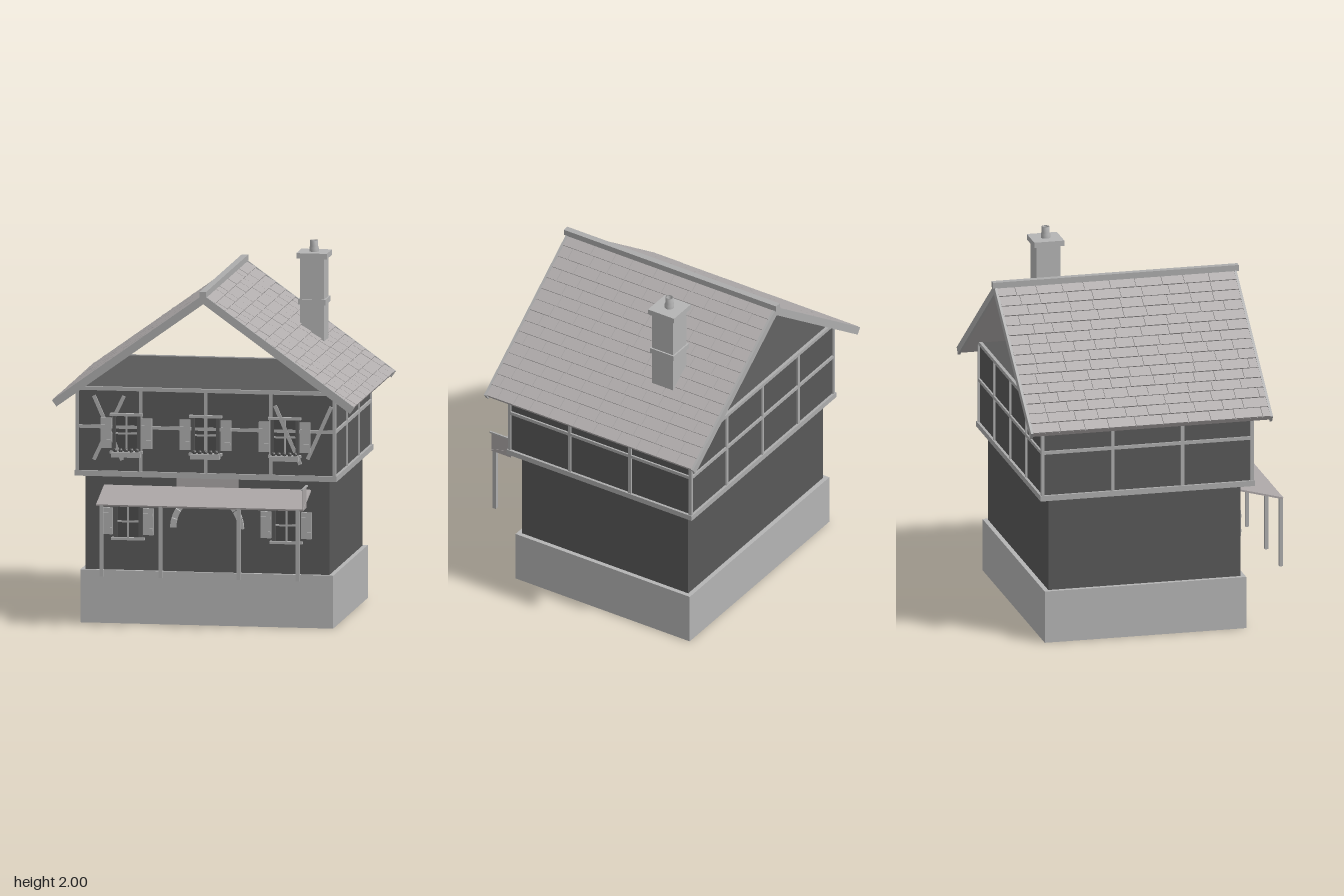
import * as THREE from 'three';
import { mergeGeometries } from 'three/addons/utils/BufferGeometryUtils.js';

const mat = (name, color, side = THREE.FrontSide) => {
  const m = new THREE.MeshStandardMaterial({ color, side });
  m.name = name;
  return m;
};

export function createModel() {
  const house = new THREE.Group();
  house.name = 'house';
  const stone = mat('stone', 0xb4b4b4);
  const plaster = mat('darkPlaster', 0x585858);
  const timber = mat('timber', 0xacacac);
  const tile = mat('roofTile', 0xb0acac);
  const glass = mat('darkGlass', 0x4c4c4c);
  const board = mat('canopyBoard', 0xaaa5a5, THREE.DoubleSide);

  const add = (parent, name, geo, material) => {
    const m = new THREE.Mesh(geo, material);
    m.name = name;
    parent.add(m);
    return m;
  };
  // box given by its limits on each axis
  const box = (parent, name, material, x0, x1, y0, y1, z0, z1) => {
    const m = add(parent, name, new THREE.BoxGeometry(x1 - x0, y1 - y0, z1 - z0), material);
    m.position.set((x0 + x1) / 2, (y0 + y1) / 2, (z0 + z1) / 2);
    return m;
  };
  const group = (name, x = 0, y = 0, z = 0) => {
    const g = new THREE.Group();
    g.name = name;
    g.position.set(x, y, z);
    house.add(g);
    return g;
  };

  // Storeys
  box(house, 'foundation', stone, -0.695, 0.695, 0, 0.29, -0.626, 0.5);
  box(house, 'lowerWalls', plaster, -0.67, 0.67, 0.29, 0.815, -0.6, 0.475);
  box(house, 'upperWalls', plaster, -0.705, 0.705, 0.812, 1.295, -0.64, 0.527);

  // Timber frame on all four sides of the upper storey
  const frame = group('timberFrame');
  const X = 0.715, ZF = 0.537, ZB = -0.65, t = 0.018;
  for (const [y0, y1] of [[0.81, 0.84], [1.072, 1.09], [1.28, 1.3]]) {
    const o = y0 < 0.9 ? 0.005 : 0;
    box(frame, 'frontRail', timber, -X - o, X + o, y0, y1, ZF - t, ZF + o);
    box(frame, 'backRail', timber, -X - o, X + o, y0, y1, ZB - o, ZB + t);
    for (const s of [-1, 1]) {
      const xs = [s * (X + o), s * (X - t)].sort((a, b) => a - b);
      box(frame, 'sideRail', timber, ...xs, y0, y1, ZB + t, ZF - t);
    }
  }
  for (const x of [-0.706, -0.357, 0, 0.357, 0.706]) {
    box(frame, 'frontPost', timber, x - 0.009, x + 0.009, 0.82, 1.3, ZF - t, ZF);
    box(frame, 'backPost', timber, x - 0.009, x + 0.009, 0.82, 1.3, ZB, ZB + t);
  }
  for (const z of [0.14, -0.25])
    for (const s of [-1, 1])
      box(frame, 'sidePost', timber, s * 0.706 - 0.009, s * 0.706 + 0.009, 0.82, 1.3, z - 0.009, z + 0.009);
  // Diagonal braces
  for (const [x0, y0, x1, y1] of [
    [-0.615, 1.25, -0.46, 0.9], [-0.45, 1.25, -0.615, 0.9],
    [0.38, 1.22, 0.52, 0.9], [0.69, 1.22, 0.56, 0.93]]) {
    const b = add(frame, 'brace', new THREE.BoxGeometry(0.02, Math.hypot(x1 - x0, y1 - y0), 0.016), timber);
    b.position.set((x0 + x1) / 2, (y0 + y1) / 2, 0.53);
    b.rotation.z = Math.atan2(x0 - x1, y0 - y1) * -1;
  }

  // Windows with cross bars, lintel, sill and open shutters
  const makeWindow = (x, y, z, h, planter) => {
    const w = group('window', x, y, z);
    const H = h / 2, W = 0.068;
    box(w, 'pane', glass, -W, W, -H, H, -0.01, 0.006);
    for (const s of [-1, 1]) {
      box(w, 'jamb', plaster, s * W - 0.009, s * W + 0.009, -H, H, 0, 0.016);
      box(w, 'shutter', timber, s * 0.112 - 0.029, s * 0.112 + 0.029, -H + 0.022, H - 0.018, 0.005, 0.025);
      for (const k of [-1, 1])
        box(w, 'shutterBatten', timber, s * 0.112 - 0.026, s * 0.112 + 0.026, k * 0.042 - 0.008, k * 0.042 + 0.008, 0.025, 0.03);
    }
    box(w, 'mullion', timber, -0.005, 0.005, -H, H, 0, 0.012);
    box(w, 'transom', timber, -W, W, -0.005, 0.005, 0, 0.012);
    box(w, 'lintel', timber, -0.09, 0.09, H - 0.006, H + 0.008, 0, 0.025);
    box(w, 'sill', timber, -0.09, 0.09, -H - 0.008, -H + 0.006, 0, 0.028);
    if (planter) {
      box(w, 'planter', timber, -0.08, 0.08, -H - 0.025, -H + 0.003, 0.005, 0.045);
      for (let i = 0; i < 5; i++) {
        const p = add(w, 'planterTuft', new THREE.IcosahedronGeometry(0.013, 0), plaster);
        p.position.set(-0.06 + i * 0.03, -H + 0.012, 0.026);
      }
    }
  };
  for (const x of [-0.435, 0, 0.435]) makeWindow(x, 1.047, 0.527, 0.205, true);
  for (const x of [-0.435, 0.435]) makeWindow(x, 0.557, 0.475, 0.185, false);

  // Arched door and its ring of stones
  const door = group('door', 0, 0.29, 0.475);
  const leaf = new THREE.Shape();
  leaf.moveTo(-0.17, 0);
  leaf.lineTo(0.17, 0);
  leaf.lineTo(0.17, 0.24);
  leaf.absarc(0, 0.24, 0.17, 0, Math.PI, false);
  add(door, 'doorLeaf', new THREE.ExtrudeGeometry(leaf, { depth: 0.008, bevelEnabled: false, curveSegments: 16 }), plaster);
  for (let i = 0; i < 11; i++) {
    const a0 = (i / 11) * Math.PI + 0.012, a1 = ((i + 1) / 11) * Math.PI - 0.012;
    const s = new THREE.Shape();
    s.absarc(0, 0.24, 0.202, a0, a1, false);
    s.absarc(0, 0.24, 0.17, a1, a0, true);
    add(door, 'archStone', new THREE.ExtrudeGeometry(s, { depth: 0.025, bevelEnabled: false, curveSegments: 2 }), stone);
  }
  box(house, 'plaque', board, -0.17, 0.17, 0.755, 0.803, 0.475, 0.484);

  // Porch canopy, posts and end panel
  const porch = group('porch');
  const run = 0.265, drop = 0.07;
  const roofBoard = add(porch, 'canopy', new THREE.BoxGeometry(1.138, 0.01, Math.hypot(run, drop)), board);
  roofBoard.position.set(0, 0.715, 0.4725 + run / 2);
  roofBoard.rotation.x = Math.atan2(drop, run);
  for (const x of [-0.54, -0.215, 0.215, 0.54])
    box(porch, 'porchPost', timber, x - 0.01, x + 0.01, 0.29, 0.682, 0.722, 0.742);
  box(porch, 'endPanel', board, 0.563, 0.567, 0.675, 0.792, 0.612, 0.737);
  box(porch, 'endPanelBar', timber, 0.56, 0.57, 0.788, 0.797, 0.58, 0.748);

  // Roof slopes with staggered rows of tiles
  let seed = 7;
  const rnd = () => (seed = (seed * 16807) % 2147483647) / 2147483647;
  const angle = Math.atan2(0.59, 0.82), L = 1.008, rows = 15, step = L / rows;
  for (const s of [-1, 1]) {
    const slope = group('roofSlope', 0, 1.815, -0.06);
    slope.rotation.z = -s * angle;
    const deck = add(slope, 'roofDeck', new THREE.BoxGeometry(L, 0.024, 1.33), tile);
    deck.position.set(s * L / 2, -0.012, 0);
    const tiles = [];
    for (let r = 0; r < rows; r++) {
      let z = -0.665;
      while (z < 0.664) {
        let w = (z < -0.66 && r % 2 ? 0.06 : 0.1) + rnd() * 0.06;
        if (z + w > 0.63) w = 0.665 - z;
        const g = new THREE.BoxGeometry(step + 0.008, 0.008, w - 0.004);
        g.rotateZ(s * 0.09);
        g.translate(s * (r + 0.5) * step, 0.005 + rnd() * 0.002, z + w / 2);
        tiles.push(g);
        z += w;
      }
    }
    add(slope, 'roofTiles', mergeGeometries(tiles), tile);
    for (const e of [-1, 1]) {
      const b = add(slope, 'bargeBoard', new THREE.BoxGeometry(L + 0.008, 0.042, 0.014), timber);
      b.position.set(s * (L + 0.008) / 2, -0.009, e * 0.669);
    }
  }
  box(house, 'ridgeBeam', timber, -0.018, 0.018, 1.815, 1.848, -0.745, 0.628);

  // Chimney with band, cap and hollow pot
  const chimney = group('chimney', 0.449, 0, -0.335);
  box(chimney, 'stack', stone, -0.067, 0.067, 1.29, 1.915, -0.068, 0.068);
  box(chimney, 'band', stone, -0.076, 0.076, 1.655, 1.685, -0.077, 0.077);
  box(chimney, 'cap', stone, -0.084, 0.084, 1.908, 1.938, -0.084, 0.084);
  const pot = [[0.026, 0], [0.026, 0.02], [0.022, 0.03], [0.022, 0.062], [0.015, 0.062], [0.015, 0.005], [0, 0.005]];
  const potMesh = add(chimney, 'chimneyPot',
    new THREE.LatheGeometry(pot.map(([x, y]) => new THREE.Vector2(x, y)), 16), stone);
  potMesh.position.y = 1.938;

  return house;
}
